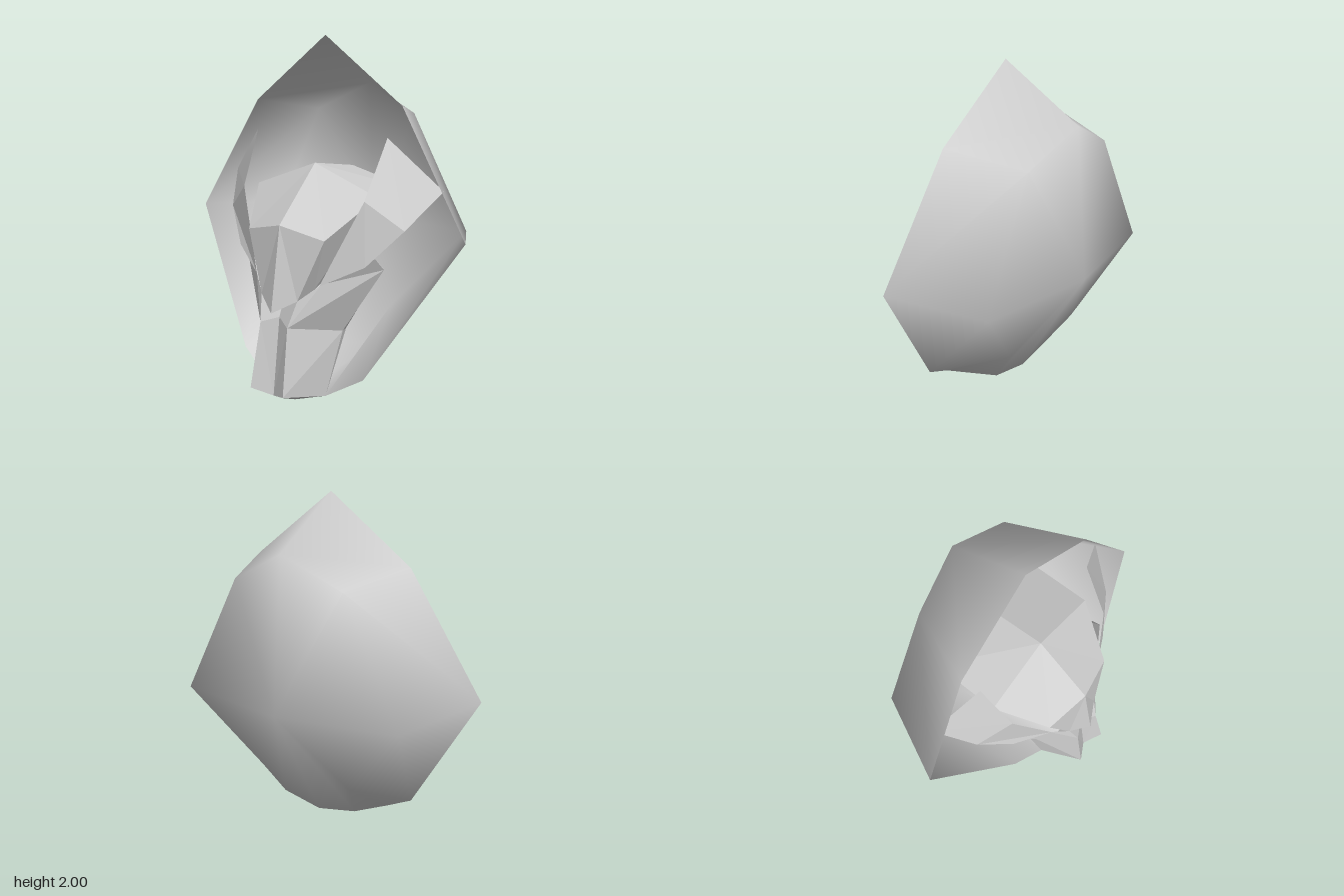
import * as THREE from 'three';

const smooth = new THREE.MeshStandardMaterial({ color: 0xcccccc, side: THREE.DoubleSide });
const flat = new THREE.MeshStandardMaterial({ color: 0xcccccc, side: THREE.DoubleSide, flatShading: true });

// Faceted mesh from named corners and faces; each face is fanned into triangles.
function facets(name, points, faces, mirrored) {
  const pos = [];
  const add = (keys, side) => {
    const p = keys.map((k) => points[k]);
    for (let i = 1; i < p.length - 1; i++) {
      const tri = side > 0 ? [p[0], p[i], p[i + 1]] : [p[0], p[i + 1], p[i]];
      tri.forEach(([x, y, z]) => pos.push(side * x, y, z));
    }
  };
  for (const f of faces) {
    add(f.split(' '), 1);
    if (mirrored) add(f.split(' '), -1);
  }
  const g = new THREE.BufferGeometry();
  g.setAttribute('position', new THREE.Float32BufferAttribute(pos, 3));
  g.computeVertexNormals();
  const mesh = new THREE.Mesh(g, flat);
  mesh.name = name;
  return mesh;
}

// Close a half loop (top centre to bottom centre) across x = 0.
const fullLoop = (half) => [...half, ...half.slice(1, -1).reverse().map(([x, y, z]) => [-x, y, z])];

// Smooth open shell: rim loop, rear loop and a rear centre point.
function hood() {
  const rim = fullLoop([[0, 2, 0], [0.48, 1.64, 0], [0.88, 0.98, 0.05],
    [0.41, 0.2, 0.24], [0.21, 0.08, 0.3], [0, 0, 0.3]]);
  const rear = fullLoop([[0, 1.73, -0.46], [0.33, 1.57, -0.41], [0.665, 0.92, -0.44],
    [0.29, 0.46, -0.27], [0.24, 0.25, -0.13], [0, 0.2, -0.13]]);
  const n = rim.length;
  const index = [];
  for (let i = 0; i < n; i++) {
    const j = (i + 1) % n;
    // mirrored diagonals keep both halves alike
    if (i < n / 2) index.push(i, j, n + i, j, n + j, n + i);
    else index.push(i, j, n + j, i, n + j, n + i);
    index.push(n + i, n + j, 2 * n);
  }
  const g = new THREE.BufferGeometry();
  g.setAttribute('position', new THREE.Float32BufferAttribute([...rim, ...rear, [0, 0.91, -0.54]].flat(), 3));
  g.setIndex(index);
  g.computeVertexNormals();
  const mesh = new THREE.Mesh(g, smooth);
  mesh.name = 'hood';
  return mesh;
}

export function createModel() {
  const model = new THREE.Group();
  model.name = 'hoodedMask';
  model.add(hood());

  // Brow sloping forward to a pointed beak, with a crown plate running back
  model.add(facets('browAndBeak', {
    top: [0, 1.32, 0.1], corner: [0.4, 1.17, 0.1],
    ridge: [0, 1.03, 0.42], brow: [0.25, 0.97, 0.37],
    tip: [0, 0.57, 0.5], jaw: [0.12, 0.64, 0.43],
    eye: [0.15, 0.68, 0.32], under: [0, 0.66, 0.36],
    backTop: [0, 1.26, -0.28], backCorner: [0.4, 1.15, -0.3],
  }, [
    'top ridge brow corner',
    'ridge tip jaw brow',
    'brow jaw eye corner',
    'tip under eye jaw',
    'top corner backCorner backTop',
    'corner eye backCorner',
  ], true));

  // Wing plates beside the brow
  const wing = {
    peak: [0.43, 1.48, 0.06], outer: [0.7, 1.21, -0.06],
    side: [0.58, 1.02, 0.13], low: [0.42, 0.83, 0.25],
    front: [0.21, 0.72, 0.36], inner: [0.4, 1.17, 0.23],
  };
  const wingFaces = ['peak inner side outer', 'inner front low side'];
  const left = facets('leftCheekWing', wing, wingFaces, false);
  const mirror = Object.fromEntries(Object.entries(wing).map(([k, [x, y, z]]) => [k, [-x, y, z]]));
  const reversed = wingFaces.map((f) => f.split(' ').reverse().join(' '));
  model.add(left, facets('rightCheekWing', mirror, reversed, false));

  // Muzzle: flared cheeks, grooved front and chin
  model.add(facets('muzzle', {
    chinFront: [0.11, 0.14, 0.55], chinSide: [0.21, 0.08, 0.3],
    chinNotch: [0, 0.1, 0.49], chin: [0, 0, 0.3],
    midSide: [0.26, 0.44, 0.21], midFront: [0.09, 0.5, 0.48],
    nose: [0, 0.53, 0.43], noseTop: [0, 0.64, 0.38],
    topFront: [0.12, 0.64, 0.43], topMid: [0.22, 0.73, 0.35],
    cheekTop: [0.45, 0.87, 0.2], cheek: [0.47, 0.8, 0.14],
    cheekBack: [0.44, 0.8, 0.1], midBack: [0.25, 0.44, 0.16], chinBack: [0.2, 0.1, 0.27],
  }, [
    'chinFront chinSide midSide midFront',
    'midFront midSide cheek topMid topFront',
    'topMid cheek cheekTop',
    'chinNotch chinFront midFront nose',
    'nose midFront topFront noseTop',
    'chin chinSide chinFront chinNotch',
    'midSide midBack cheekBack cheek',
    'chinSide chinBack midBack midSide',
    'cheek cheekBack cheekTop',
  ], true));

  return model;
}
